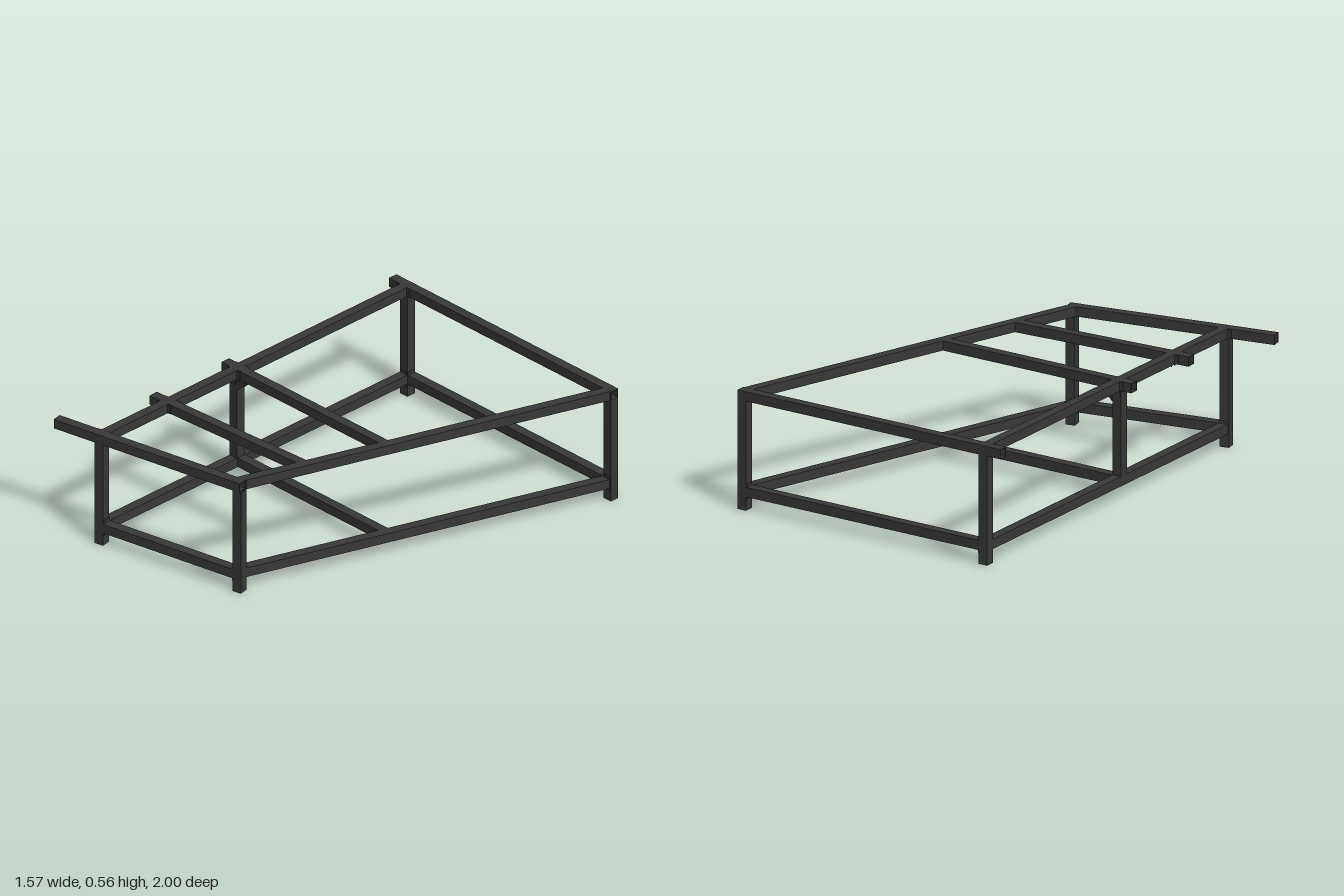
import * as THREE from 'three';

const W = 0.046, WALL = 0.003;      // square tube size and wall
const TOP = 0.541, LOW = 0.088;     // centre heights of the two frames
const mat = new THREE.MeshStandardMaterial({ color: 0x383838 });
const P = (x, z) => new THREE.Vector3(x, 0, z);
const UP = new THREE.Vector3(0, 1, 0);

// Hollow square tube along +z, starting at the origin
function tubeGeometry(length) {
  const square = (S, h) => new S([[-h, -h], [h, -h], [h, h], [-h, h]].map(p => new THREE.Vector2(...p)));
  const shape = square(THREE.Shape, W / 2);
  shape.holes.push(square(THREE.Path, W / 2 - WALL));
  return new THREE.ExtrudeGeometry(shape, { depth: length, bevelEnabled: false });
}

export function createModel() {
  const group = new THREE.Group();

  const add = (name, geometry) => {
    const mesh = new THREE.Mesh(geometry, mat);
    mesh.name = name;
    group.add(mesh);
    return mesh;
  };

  // Horizontal beam from a to b; each end can be mitred along a cut direction
  function beam(name, a, b, y, cutA, cutB) {
    const d = b.clone().sub(a), length = d.length();
    d.normalize();
    const n = new THREE.Vector3().crossVectors(UP, d);
    const slope = c => (c ? c.dot(d) / c.dot(n) : 0);
    const sa = slope(cutA), sb = slope(cutB);
    const g = tubeGeometry(length), p = g.attributes.position;
    for (let i = 0; i < p.count; i++) {
      const s = p.getZ(i) < length / 2 ? sa : sb;
      p.setZ(i, p.getZ(i) + p.getX(i) * s);
    }
    g.computeVertexNormals();
    g.applyMatrix4(new THREE.Matrix4().makeBasis(n, UP, d).setPosition(a.x, y, a.z));
    add(name, g);
  }

  function post(name, at, y0, y1, yaw = 0) {
    const mesh = add(name, tubeGeometry(y1 - y0).rotateX(-Math.PI / 2));
    mesh.position.set(at.x, y0, at.z);
    mesh.rotation.y = yaw;
  }

  // Thin joint plate standing along direction dir
  function plate(at, y, dir, w, h) {
    const mesh = add('jointPlate', new THREE.BoxGeometry(w, h, 0.006));
    mesh.position.set(at.x, y, at.z);
    mesh.rotation.y = Math.atan2(-dir.z, dir.x);
  }

  // Layout in plan
  const X = P(1, 0), Z = P(0, 1);
  const frontA = P(-0.78, 0.974), frontB = P(0.211, 0.781);
  const F = frontB.clone().sub(frontA).normalize();
  const yaw = Math.atan2(-F.z, F.x);
  const onFront = x => frontA.clone().addScaledVector(F, (x - frontA.x) / F.x);
  const LX = -0.54, BZ = -0.977, h = W / 2;
  const frontLeft = onFront(LX), frontRight = onFront(0.195);
  const sideBack = P(0.755, BZ + h), sideFront = P(0.187, 0.764);
  const S = sideFront.clone().sub(sideBack).normalize();
  const onSide = z => P(sideBack.x + (z - sideBack.z) * S.x / S.z - h / S.z, z);
  const crossA = P(-0.63, 0.519), crossB = onSide(0.465);
  const C = crossB.clone().sub(crossA).normalize();

  // Posts
  const yTop = TOP - h;
  post('frontRightPost', frontLeft, 0, yTop, yaw);
  post('frontLeftPost', frontRight, 0, yTop, yaw);
  post('backRightPost', P(LX, BZ), 0, yTop);
  post('backLeftPost', P(0.762, BZ), 0, yTop);
  post('middlePost', P(LX, 0.085), LOW + h, yTop);

  // Upper frame
  beam('frontTopBeam', frontA, frontB, TOP);
  beam('backTopBeam', P(-0.635, BZ), P(0.785, BZ), TOP);
  beam('slantedTopRail', sideBack, sideFront, TOP, X, F);
  beam('middleCrossBeam', P(-0.62, 0.08), onSide(0.08), TOP, null, S);
  beam('frontCrossBeam', crossA, crossB, TOP, null, S);

  // Straight top rail, split where the cross beams pass through
  const crossZ = crossA.z + (LX - crossA.x) * C.z / C.x;
  const joints = [[BZ, X], [0.08, X], [crossZ, C], [frontLeft.z, F]];
  for (let i = 0; i < 3; i++) {
    const [z0, c0] = joints[i], [z1, c1] = joints[i + 1];
    beam('straightTopRail', P(LX, z0 + h), P(LX, z1 - h), TOP, c0, c1);
    plate(P(LX, z0 + h + 0.003), TOP, c0, 0.08, W - 0.004);
    plate(P(LX, z1 - h - 0.003), TOP, c1, 0.08, W - 0.004);
  }

  // Lower frame between the posts
  const lowA = frontLeft.clone().addScaledVector(F, h);
  const lowB = frontRight.clone().addScaledVector(F, -h);
  beam('frontLowerBeam', lowA, lowB, LOW);
  beam('backLowerBeam', P(LX + h, BZ), P(0.762 - h, BZ), LOW);
  beam('straightLowerRail', P(LX, BZ + h), P(LX, frontLeft.z - h), LOW, X, F);
  beam('slantedLowerRail', sideBack, sideFront, LOW, X, F);
  beam('lowerCrossBeam', P(LX + h, 0.08), onSide(0.08), LOW, Z, S);

  // Plates where lower rails meet the posts
  const H = 0.075, w = W - 0.004;
  plate(lowA, LOW, P(-F.z, F.x), w, H);
  plate(lowB, LOW, P(-F.z, F.x), w, H);
  plate(P(LX + h, BZ), LOW, Z, w, H);
  plate(P(0.762 - h, BZ), LOW, Z, w, H);
  plate(P(LX, BZ + h), LOW, X, w, H);
  plate(P(0.762, BZ + h), LOW, X, w, H);
  plate(P(LX, frontLeft.z - h), LOW, F, w, H);
  plate(sideFront, LOW, F, w, H);

  // Triangular gussets bracing the middle post to its cross beam
  const tri = new THREE.Shape([[0, 0], [0.055, 0], [0.055, -0.006], [0, -0.058]].map(p => new THREE.Vector2(...p)));
  for (const z of [0.058, 0.108]) {
    add('gusset', new THREE.ExtrudeGeometry(tri, { depth: 0.004, bevelEnabled: false }))
      .position.set(LX + h, yTop, z);
    plate(P(LX, z + 0.002), yTop - 0.012, X, w, 0.024);
  }

  // Bolts under the front cross beam joint
  for (const z of [0.495, 0.52, 0.545]) {
    add('bolt', new THREE.CylinderGeometry(0.003, 0.003, 0.02, 8)).position.set(LX, yTop - 0.008, z);
  }
  return group;
}
